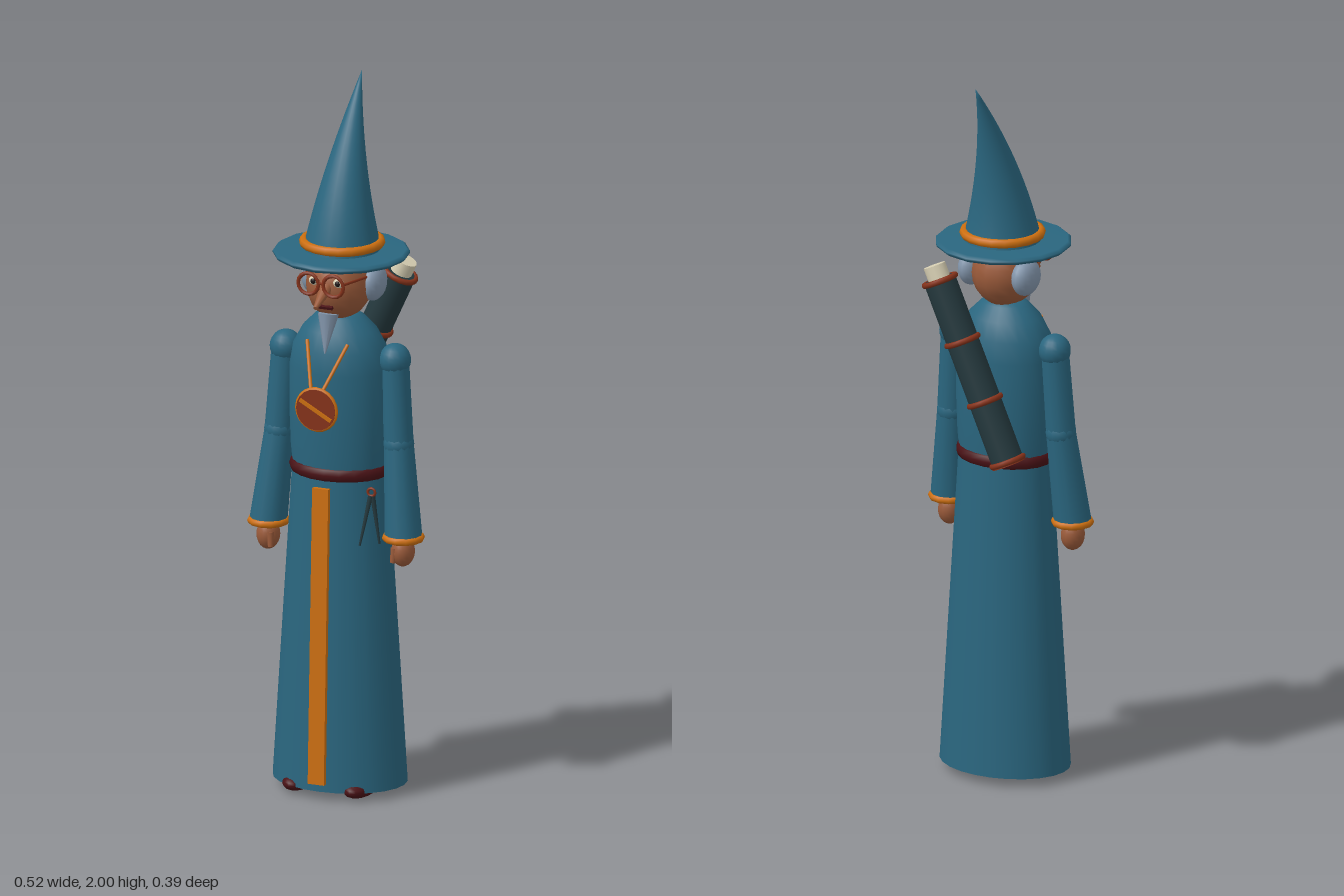
import * as THREE from 'three';
import { mergeVertices } from 'three/addons/utils/BufferGeometryUtils.js';

const paint = (name, color) => {
  const m = new THREE.MeshStandardMaterial({ color });
  m.name = name;
  return m;
};

export function createModel() {
  const teal = paint('teal cloth', 0x2a667f);
  const orange = paint('orange trim', 0xcc6f10);
  const skin = paint('skin', 0x9a5a3a);
  const grey = paint('grey hair', 0x8497ad);
  const maroon = paint('maroon leather', 0x4a1216);
  const rust = paint('rust metal', 0x85321a);
  const slate = paint('dark slate', 0x24383d);
  const cream = paint('cream paper', 0xd8d0b4);
  const dark = paint('dark eye', 0x1c1414);

  const model = new THREE.Group();
  model.name = 'wizard';
  const add = (name, geometry, material, x = 0, y = 0, z = 0, parent = model) => {
    const mesh = new THREE.Mesh(geometry, material);
    mesh.name = name;
    mesh.position.set(x, y, z);
    parent.add(mesh);
    return mesh;
  };
  const ball = (name, material, x, y, z, rx, ry, rz) => {
    const mesh = add(name, new THREE.SphereGeometry(1, 16, 12), material, x, y, z);
    mesh.scale.set(rx, ry, rz);
    return mesh;
  };
  // Tapered rod from point a (radius ra) to point b (radius rb)
  const rod = (name, material, a, b, ra, rb = ra, sides = 12) => {
    const p = new THREE.Vector3(...a), q = new THREE.Vector3(...b);
    const mesh = add(name, new THREE.CylinderGeometry(rb, ra, p.distanceTo(q), sides), material);
    mesh.position.copy(p).lerp(q, 0.5);
    mesh.quaternion.setFromUnitVectors(new THREE.Vector3(0, 1, 0), q.sub(p).normalize());
    return mesh;
  };
  const lathe = (points, sides) =>
    new THREE.LatheGeometry(points.map(([r, y]) => new THREE.Vector2(r, y)), sides);
  // Horizontal ring
  const hoop = (name, material, r, tube, y, z, depth = 1) => {
    const mesh = add(name, new THREE.TorusGeometry(r, tube, 8, 20).rotateX(Math.PI / 2), material, 0, y, z);
    mesh.scale.z = depth;
    return mesh;
  };

  // Robe: flared skirt and rounded torso, both oval in plan
  add('skirt', new THREE.CylinderGeometry(0.135, 0.19, 0.895, 24), teal, 0, 0.4725, 0.013).scale.z = 0.79;
  add('torso', lathe([[0.132, 0.9], [0.139, 0.97], [0.143, 1.08], [0.142, 1.2], [0.132, 1.26],
    [0.105, 1.31], [0.07, 1.345], [0.045, 1.36], [0, 1.362]], 24), teal, 0, 0, 0.014).scale.z = 0.79;
  const belt = hoop('belt', maroon, 0.127, 0.016, 0.916, 0.014, 0.8);
  belt.scale.y = 1.3;

  // Front stripe leaning with the skirt
  const stripe = add('frontStripe', new THREE.BoxGeometry(0.048, 0.836, 0.014), orange, 0, 0.467, 0.158);
  stripe.rotation.x = -0.036;

  // Boots, arms and hands
  for (const s of [-1, 1]) {
    ball('boot', maroon, s * 0.09, 0.028, 0.072, 0.042, 0.028, 0.087);
    const shoulder = [s * 0.162, 1.235, 0.012], elbow = [s * 0.177, 1.0, 0.02], wrist = [s * 0.2, 0.745, 0.042];
    ball('shoulder', teal, ...shoulder, 0.044, 0.046, 0.045);
    rod('upperSleeve', teal, shoulder, elbow, 0.039, 0.041);
    ball('elbow', teal, ...elbow, 0.042, 0.042, 0.043);
    rod('lowerSleeve', teal, elbow, wrist, 0.041, 0.052);
    const cuff = add('cuff', new THREE.TorusGeometry(0.048, 0.011, 8, 12).rotateX(Math.PI / 2), orange, ...wrist);
    cuff.position.y = 0.742;
    ball('hand', skin, s * 0.2, 0.703, 0.044, 0.032, 0.043, 0.036);
    rod('thumb', skin, [s * 0.185, 0.715, 0.067], [s * 0.181, 0.675, 0.073], 0.011, 0.007, 8);
  }

  // Head, side hair, beard and face
  ball('head', skin, 0, 1.437, 0.017, 0.09, 0.1, 0.104);
  for (const s of [-1, 1]) {
    ball('sideHair', grey, s * 0.087, 1.44, -0.016, 0.033, 0.052, 0.054);
    ball('eye', cream, s * 0.036, 1.464, 0.107, 0.016, 0.013, 0.01);
    ball('pupil', dark, s * 0.036, 1.464, 0.114, 0.008, 0.008, 0.006);
    // Spectacles
    add('spectacleRim', new THREE.TorusGeometry(0.03, 0.0055, 6, 16), rust, s * 0.037, 1.466, 0.146);
    rod('spectacleArm', rust, [s * 0.067, 1.474, 0.146], [s * 0.086, 1.465, 0.02], 0.004, 0.004, 6);
  }
  rod('spectacleBridge', rust, [-0.01, 1.47, 0.146], [0.01, 1.47, 0.146], 0.004, 0.004, 6);
  rod('nose', skin, [0, 1.448, 0.105], [0, 1.41, 0.182], 0.02, 0.006, 10);
  const mouth = add('mouth', new THREE.BoxGeometry(0.042, 0.008, 0.009), maroon, 0, 1.393, 0.113);
  mouth.rotation.x = 0.35;
  rod('beard', grey, [0, 1.37, 0.094], [0, 1.262, 0.118], 0.029, 0.002, 10);

  // Hat: flat brim, band and a cone whose tip sweeps backwards
  add('hatBrim', lathe([[0, 1.512], [0.178, 1.512], [0.187, 1.519], [0.187, 1.524], [0.178, 1.531], [0, 1.533]], 16),
    teal, 0, 0, 0.005);
  const cone = new THREE.ConeGeometry(0.108, 0.475, 24, 14, true).translate(0, 1.7625, 0);
  const p = cone.attributes.position;
  for (let i = 0; i < p.count; i++) {
    const t = (p.getY(i) - 1.525) / 0.475;
    p.setZ(i, p.getZ(i) - 0.135 * t * t);
  }
  cone.deleteAttribute('uv');
  cone.deleteAttribute('normal');
  const sweep = mergeVertices(cone);
  sweep.computeVertexNormals();
  add('hatCone', sweep, teal);
  hoop('hatBand', orange, 0.105, 0.013, 1.55, 0);

  // Medallion on two cords
  const medallion = new THREE.Group();
  medallion.name = 'medallion';
  medallion.position.set(0, 1.119, 0.174);
  model.add(medallion);
  add('medallionDisc', new THREE.CylinderGeometry(0.058, 0.058, 0.014, 20).rotateX(Math.PI / 2), rust, 0, 0, 0, medallion);
  add('medallionRim', new THREE.TorusGeometry(0.057, 0.007, 6, 20), orange, 0, 0, 0, medallion);
  add('medallionBar', new THREE.BoxGeometry(0.105, 0.01, 0.008), orange, 0, 0, 0.008, medallion).rotation.z = -0.5;
  for (const s of [-1, 1]) {
    rod('medallionCord', orange, [s * 0.018, 1.175, 0.172], [s * 0.06, 1.29, 0.1], 0.005, 0.005, 6);
  }

  // Pair of dividers hanging from the belt
  add('dividerRing', new THREE.TorusGeometry(0.011, 0.004, 6, 12), rust, 0.127, 0.875, 0.092);
  rod('dividerLeg', slate, [0.125, 0.865, 0.094], [0.1, 0.725, 0.11], 0.007, 0.003, 6);
  rod('dividerLeg', slate, [0.13, 0.865, 0.09], [0.15, 0.73, 0.09], 0.007, 0.003, 6);

  // Scroll case slung diagonally over the back
  const scrollCase = new THREE.Group();
  scrollCase.name = 'scrollCase';
  scrollCase.position.set(0, 1.19, -0.143);
  scrollCase.rotation.z = -0.43;
  model.add(scrollCase);
  add('caseTube', new THREE.CylinderGeometry(0.045, 0.045, 0.54, 16), slate, 0, 0, 0, scrollCase);
  for (const y of [-0.264, -0.088, 0.088, 0.264]) {
    add('caseRing', new THREE.TorusGeometry(0.045, 0.008, 8, 16).rotateX(Math.PI / 2), rust, 0, y, 0, scrollCase);
  }
  add('caseBase', new THREE.CylinderGeometry(0.047, 0.047, 0.012, 16), rust, 0, -0.268, 0, scrollCase);
  add('paperRoll', new THREE.CylinderGeometry(0.031, 0.031, 0.1, 14), cream, 0, 0.258, 0, scrollCase);

  return model;
}
